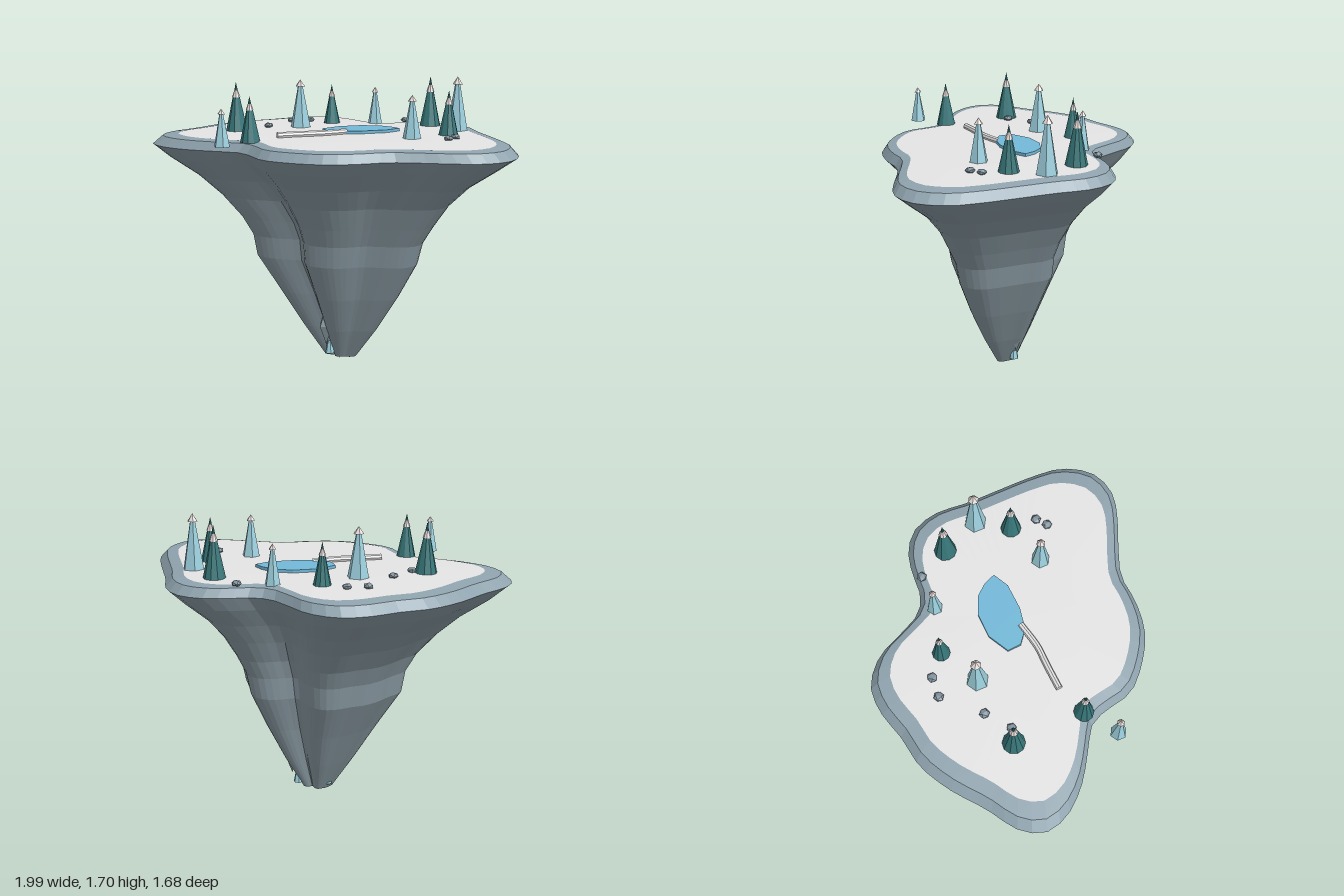
import * as THREE from 'three';

const mat = (name, color, flatShading = true) => {
  const m = new THREE.MeshStandardMaterial({ color, flatShading });
  m.name = name;
  return m;
};

// island outline at its widest level, as x, z pairs
const OUTLINE = [
  0.09, -0.84, 0.24, -0.81, 0.41, -0.70, 0.59, -0.60, 0.78, -0.49, 0.91, -0.39,
  0.99, -0.22, 0.95, -0.06, 0.83, 0.06, 0.68, 0.17, 0.55, 0.28, 0.47, 0.43,
  0.35, 0.575, 0.19, 0.665, 0.01, 0.71, -0.13, 0.67, -0.25, 0.645, -0.40, 0.715,
  -0.56, 0.79, -0.735, 0.825, -0.88, 0.79, -0.955, 0.67, -0.97, 0.46, -1.0, 0.24,
  -0.99, 0.03, -0.93, -0.13, -0.88, -0.32, -0.80, -0.45, -0.64, -0.52, -0.45, -0.51,
  -0.30, -0.51, -0.21, -0.57, -0.13, -0.69, -0.035, -0.79,
];
const SEGMENTS = 72;

export function createModel() {
  const rock = mat('rock', 0x82929a);
  const rim = mat('rim ice', 0x8fa3ae);
  const snow = mat('snow', 0xe4e4e4);
  const water = mat('water', 0x72b8d8);
  const pineTeal = mat('dark teal', 0x38777a);
  const pineIce = mat('pale ice', 0x9dd0de);
  const capWhite = mat('cap white', 0xeee3e0);
  const stoneGrey = mat('stone grey', 0x80929d);

  const group = new THREE.Group();
  const add = (name, geometry, material, x = 0, y = 0, z = 0, parent = group) => {
    const mesh = new THREE.Mesh(geometry, material);
    mesh.name = name;
    mesh.position.set(x, y, z);
    parent.add(mesh);
    return mesh;
  };

  const knots = [];
  for (let i = 0; i < OUTLINE.length; i += 2) knots.push(new THREE.Vector3(OUTLINE[i], 0, OUTLINE[i + 1]));
  const curve = new THREE.CatmullRomCurve3(knots, true);
  const outline = curve.getSpacedPoints(SEGMENTS).slice(0, SEGMENTS);

  // two crevices that cut deeper towards the bottom
  const creviceAngles = [Math.atan2(0.645, -0.25), Math.atan2(-0.51, -0.3)];
  const dent = (angle, depth) => creviceAngles.reduce((f, c) => {
    const d = Math.atan2(Math.sin(angle - c), Math.cos(angle - c));
    return f * (1 - depth * Math.exp(-((d / 0.2) ** 2)));
  }, 1);

  // skin over scaled copies of the outline; each ring is [y, scale, centre x]
  const loft = (rings) => {
    const pos = [];
    const index = [];
    for (const [y, s, cx] of rings) {
      for (const p of outline) {
        const f = s * dent(Math.atan2(p.z, p.x), 0.25 * Math.max(0, 1 - s) ** 1.5);
        pos.push(cx + p.x * f, y, p.z * f);
      }
    }
    for (let r = 0; r < rings.length - 1; r++) {
      for (let i = 0; i < SEGMENTS; i++) {
        const a = r * SEGMENTS + i;
        const b = r * SEGMENTS + ((i + 1) % SEGMENTS);
        index.push(a, a + SEGMENTS, b, b, a + SEGMENTS, b + SEGMENTS);
      }
    }
    const g = new THREE.BufferGeometry();
    g.setAttribute('position', new THREE.Float32BufferAttribute(pos, 3));
    g.setIndex(index);
    g.computeVertexNormals();
    return g;
  };

  // floating rock, rim and snow field
  add('islandRock', loft([
    [0.02, 0, -0.09], [0.01, 0.09, -0.09], [0.2, 0.21, -0.07], [0.42, 0.335, -0.055],
    [0.64, 0.455, -0.055], [0.77, 0.48, -0.045], [0.88, 0.54, -0.035], [1.01, 0.635, -0.04],
    [1.13, 0.755, -0.035], [1.24, 0.905, -0.02], [1.32, 1, 0],
  ]), rock);
  add('islandRim', loft([[1.32, 1, 0], [1.37, 0.95, 0], [1.38, 0.87, 0]]), rim);
  add('snowField', loft([[1.38, 0.87, 0], [1.383, 0.5, 0], [1.383, 0, 0]]), snow);

  // pond and the stream leaving it
  const pondShape = new THREE.Shape([
    [0.035, 0.295], [0.105, 0.285], [0.1, 0.185], [0.03, 0.05], [-0.05, -0.045],
    [-0.14, -0.08], [-0.21, -0.045], [-0.205, 0.09], [-0.14, 0.21], [-0.05, 0.28],
  ].map(([x, y]) => new THREE.Vector2(x, y)));
  const pondGeo = new THREE.ExtrudeGeometry(pondShape, { depth: 0.02, bevelEnabled: false });
  add('pond', pondGeo.rotateX(-Math.PI / 2), water, 0, 1.38, 0);

  const streamPath = new THREE.CatmullRomCurve3([
    new THREE.Vector3(-0.045, 1.395, 0.01), new THREE.Vector3(-0.095, 1.395, 0.16),
    new THREE.Vector3(-0.15, 1.395, 0.26), new THREE.Vector3(-0.22, 1.395, 0.395),
  ]);
  add('stream', new THREE.TubeGeometry(streamPath, 12, 0.019, 8), snow);
  const streamEnd = add('streamEnd', new THREE.CircleGeometry(0.019, 8), snow, -0.22, 1.395, 0.395);
  streamEnd.rotation.y = -0.48;

  // trees: [x, z, base radius, tip height]
  const darkTrees = [
    [0.07, -0.6, 0.065, 1.68], [0.4, -0.385, 0.06, 1.64], [-0.43, -0.245, 0.052, 1.62],
    [-0.605, 0.375, 0.065, 1.67], [-0.245, 0.575, 0.057, 1.635],
  ];
  const paleTrees = [
    [0.31, -0.57, 0.065, 1.7], [0.34, -0.135, 0.055, 1.63], [-0.24, -0.435, 0.045, 1.605],
    [-0.44, 0.01, 0.064, 1.67], [-0.23, 0.79, 0.046, 1.585],
  ];
  const base = 1.375;
  const makeTree = (name, x, z) => {
    const tree = new THREE.Group();
    tree.name = name;
    tree.position.set(x, base, z);
    group.add(tree);
    return tree;
  };
  for (const [x, z, r, top] of darkTrees) {
    const h = top - base;
    const tree = makeTree('darkPine', x, z);
    add('foliage', new THREE.CylinderGeometry(r * 0.3, r, h * 0.72, 10), pineTeal, 0, h * 0.36, 0, tree);
    add('snowCollar', new THREE.CylinderGeometry(r * 0.15, r * 0.38, h * 0.14, 8), capWhite, 0, h * 0.77, 0, tree);
    add('tip', new THREE.ConeGeometry(r * 0.24, h * 0.25, 8), pineTeal, 0, h * 0.875, 0, tree);
  }
  for (const [x, z, r, top] of paleTrees) {
    const h = top - base;
    const tree = makeTree('palePine', x, z);
    add('foliage', new THREE.CylinderGeometry(r * 0.22, r, h * 0.88, 6), pineIce, 0, h * 0.44, 0, tree);
    add('snowCap', new THREE.ConeGeometry(r * 0.47, h * 0.14, 6), capWhite, 0, h * 0.93, 0, tree);
  }

  // scattered stones
  const stones = [
    [-0.14, -0.605], [-0.575, -0.195], [-0.64, -0.1], [-0.57, 0.155],
    [-0.55, 0.32], [0.525, -0.3], [0.535, -0.23],
  ];
  stones.forEach(([x, z], i) => {
    const stone = add('stone', new THREE.IcosahedronGeometry(0.03, 0), stoneGrey, x, 1.393, z);
    stone.scale.y = 0.6;
    stone.rotation.y = i;
  });

  // rock shards and ice crystals round the foot
  for (const [x, z] of [[-0.1, 0.13], [-0.03, -0.13]]) {
    const shard = add('rockShard', new THREE.OctahedronGeometry(0.05, 0), rock, x, 0.22, z);
    shard.scale.y = 2.4;
  }
  for (const [x, z] of [[-0.1, 0.1], [-0.05, -0.1], [-0.18, 0.02]]) {
    add('iceCrystal', new THREE.CylinderGeometry(0.015, 0.028, 0.07, 6), pineIce, x, 0.075, z);
  }
  // jagged stubs under the tip
  for (let i = 0; i < 5; i++) {
    const a = (i / 5) * Math.PI * 2;
    add('footStub', new THREE.ConeGeometry(0.03, 0.06, 5).rotateX(Math.PI), rock,
      -0.09 + 0.06 * Math.cos(a), 0.03, 0.05 * Math.sin(a));
  }
  return group;
}
